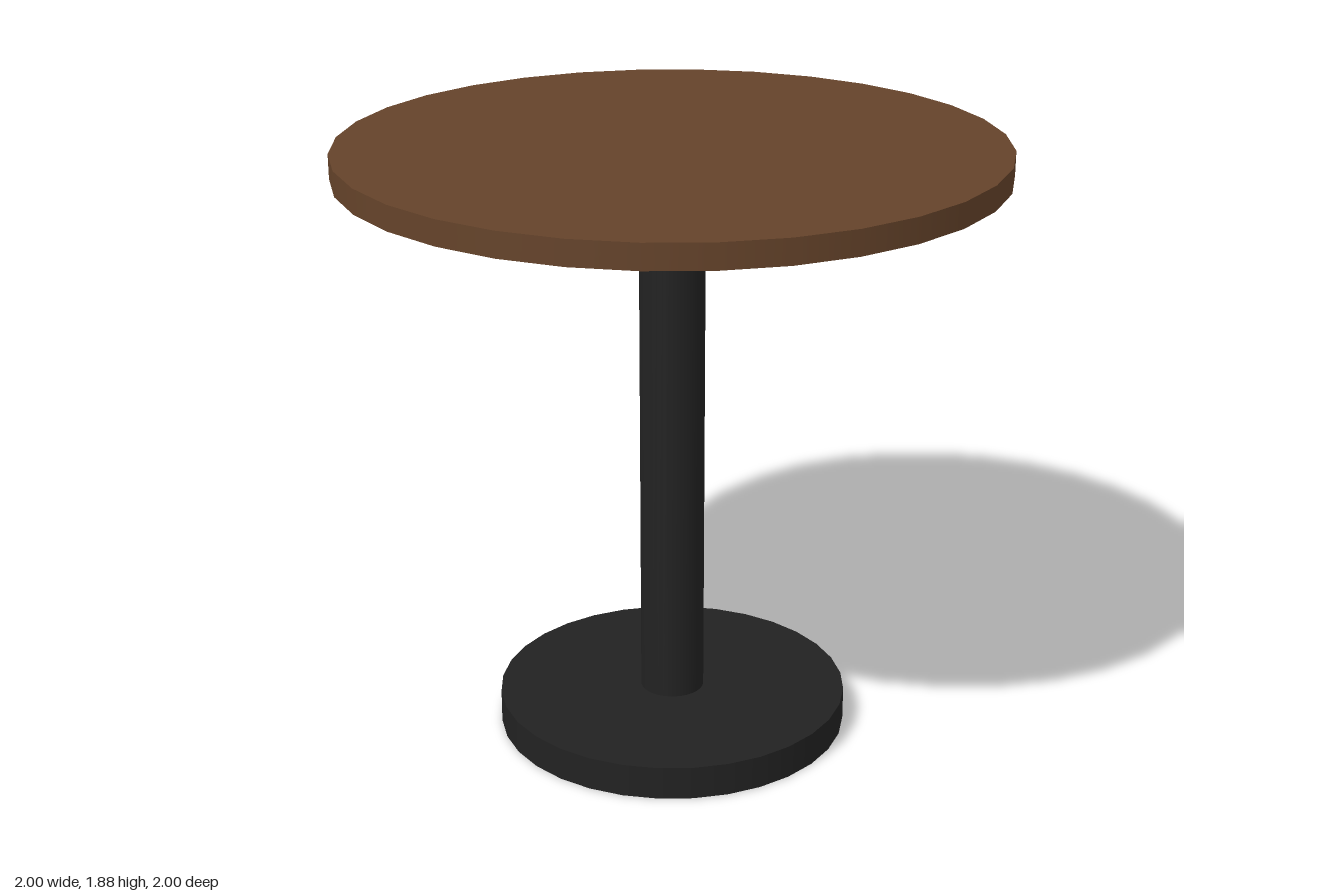
import * as THREE from 'three';

export function createModel() {
  const group = new THREE.Group();
  const wood = new THREE.MeshStandardMaterial({ color: 0x65432a });
  const metal = new THREE.MeshStandardMaterial({ color: 0x222222 });

  // Adds a part spanning the heights y0 to y1
  const add = (name, geometry, material, y0, y1) => {
    const mesh = new THREE.Mesh(geometry, material);
    mesh.name = name;
    mesh.position.y = (y0 + y1) / 2;
    group.add(mesh);
  };
  const disc = (name, radius, y0, y1, sides, material) =>
    add(name, new THREE.CylinderGeometry(radius, radius, y1 - y0, sides), material, y0, y1);

  disc('base', 0.55, 0, 0.105, 32, metal);
  disc('column', 0.1, 0.105, 1.775, 32, metal);

  // Square plate joining the column to the top
  add('mountingPlate', new THREE.BoxGeometry(0.35, 0.03, 0.35), metal, 1.775, 1.805);

  disc('tableTop', 1, 1.805, 1.88, 32, wood);
  return group;
}
